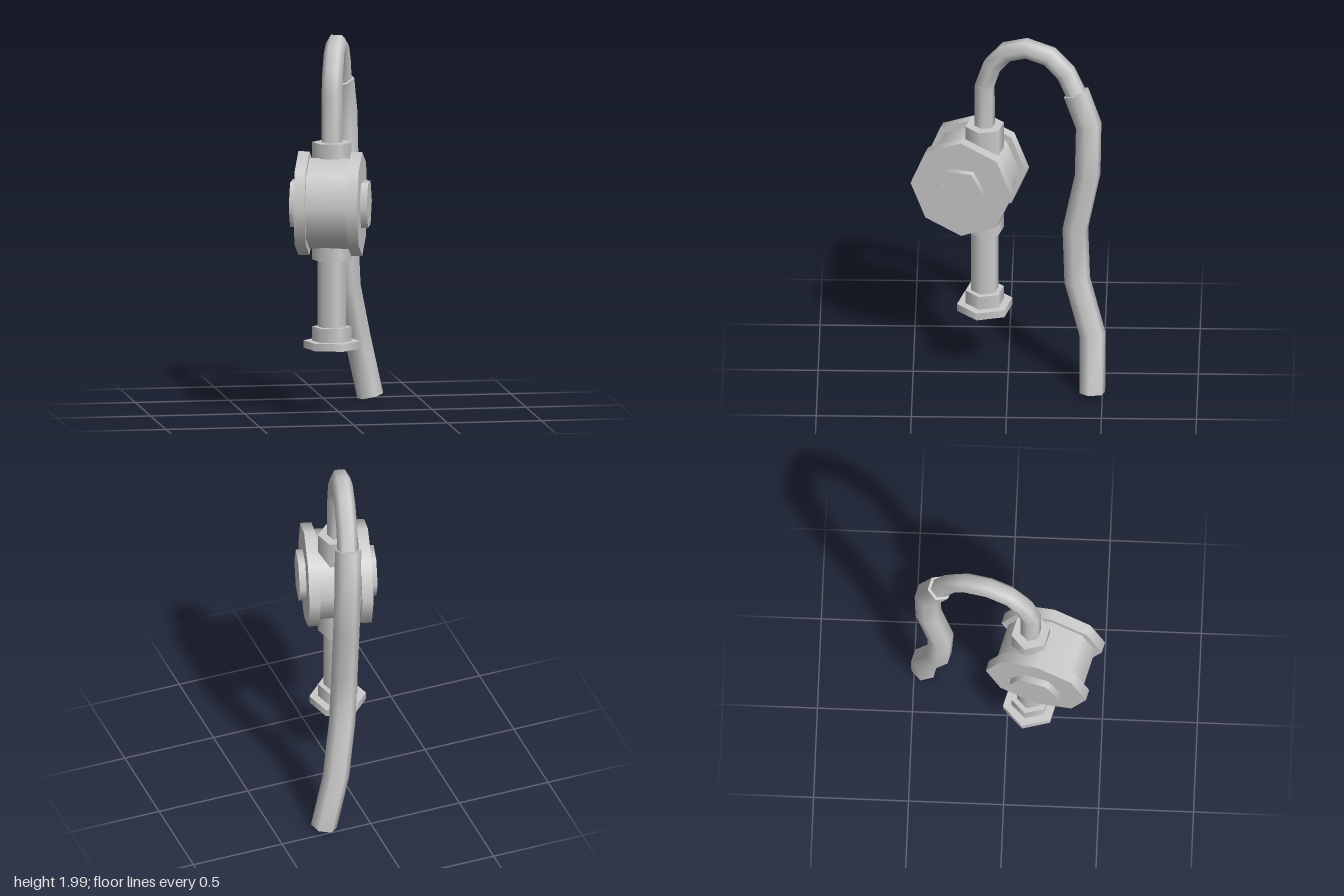
import * as THREE from 'three';

const material = new THREE.MeshStandardMaterial({ color: 0xcccccc });
const TURN = THREE.MathUtils.degToRad(15);
const V = (x, y, z) => new THREE.Vector3(x, y, z);

function addMesh(parent, name, geometry) {
  const mesh = new THREE.Mesh(geometry, material);
  mesh.name = name;
  parent.add(mesh);
  return mesh;
}

// Six-sided upright prism between two heights
function hexPost(parent, name, radius, y0, y1) {
  const geo = new THREE.CylinderGeometry(radius, radius, y1 - y0, 6, 1, false, Math.PI / 2);
  addMesh(parent, name, geo).position.y = (y0 + y1) / 2;
}

// Prism lying along x
function drum(parent, name, radius, sides, x0, x1) {
  const geo = new THREE.CylinderGeometry(radius, radius, x1 - x0, sides);
  geo.rotateZ(-Math.PI / 2);
  addMesh(parent, name, geo).position.x = (x0 + x1) / 2;
}

// Six-sided capped tube with one ring at each path point
function sweep(points, radius, sides = 6) {
  const side = V(Math.cos(TURN), 0, Math.sin(TURN));
  const last = points.length - 1;
  const rings = points.map((p, i) => {
    const before = p.clone().sub(points[Math.max(i - 1, 0)]).normalize();
    const after = points[Math.min(i + 1, last)].clone().sub(p).normalize();
    const t = before.add(after).normalize();
    const u = side.clone().addScaledVector(t, -side.dot(t)).normalize();
    const v = t.clone().cross(u);
    return Array.from({ length: sides }, (_, k) => {
      const a = (k / sides) * Math.PI * 2;
      return p.clone().addScaledVector(u, Math.cos(a) * radius).addScaledVector(v, Math.sin(a) * radius);
    });
  });
  const vertices = rings.flat();
  const index = [];
  for (let i = 0; i < last; i++) {
    for (let k = 0; k < sides; k++) {
      const n = (k + 1) % sides;
      const a = i * sides + k, b = i * sides + n;
      index.push(a, b, b + sides, a, b + sides, a + sides);
    }
  }
  // End caps use their own vertices to keep the rim sharp
  const start = vertices.length;
  vertices.push(...rings[0], ...rings[last]);
  for (let k = 1; k < sides - 1; k++) {
    index.push(start, start + k + 1, start + k);
    index.push(start + sides, start + sides + k, start + sides + k + 1);
  }
  const geo = new THREE.BufferGeometry().setFromPoints(vertices);
  geo.setIndex(index);
  geo.computeVertexNormals();
  return geo;
}

export function createModel() {
  const model = new THREE.Group();
  model.name = 'valveWithHose';

  // Upright stem, turned slightly about the vertical
  const valve = new THREE.Group();
  valve.name = 'valve';
  valve.position.set(-0.055, 0, 0.125);
  valve.rotation.y = -TURN;
  model.add(valve);
  hexPost(valve, 'baseFlange', 0.15, 0.36, 0.4);
  hexPost(valve, 'baseNut', 0.104, 0.4, 0.475);
  hexPost(valve, 'lowerPipe', 0.075, 0.47, 0.85);
  hexPost(valve, 'collar', 0.104, 0.83, 1.455);

  // Octagonal housing with a flange and a hex bolt on both ends
  const housing = new THREE.Group();
  housing.name = 'housing';
  housing.position.set(0, 1.14, 0.081);
  valve.add(housing);
  drum(housing, 'housingBody', 0.24, 8, -0.115, 0.115);
  for (const [label, s] of [['left', 1], ['right', -1]]) {
    const span = (a, b) => (s > 0 ? [a, b] : [-b, -a]);
    drum(housing, label + 'Flange', 0.276, 8, ...span(0.11, 0.169));
    drum(housing, label + 'Bolt', 0.135, 6, ...span(0.16, 0.206));
  }

  // Thin gooseneck: z and y along its plane, x follows the turn
  const neck = [
    [0.125, 1.44], [0.125, 1.69], [0.085, 1.815], [0.01, 1.908], [-0.095, 1.945],
    [-0.22, 1.915], [-0.305, 1.83], [-0.375, 1.68],
  ].map(([z, y]) => V(-0.055 + (0.125 - z) * Math.tan(TURN), y, z));
  addMesh(model, 'gooseneckPipe', sweep(neck, 0.055));

  // Hanging hose
  const hose = [
    V(0.073, 1.72, -0.358), V(0.1, 1.54, -0.425), V(0.106, 1.25, -0.42), V(0.092, 0.92, -0.355),
    V(0.108, 0.62, -0.365), V(0.175, 0.33, -0.447), V(0.243, 0.018, -0.447),
  ];
  addMesh(model, 'hose', sweep(hose, 0.07));

  return model;
}
